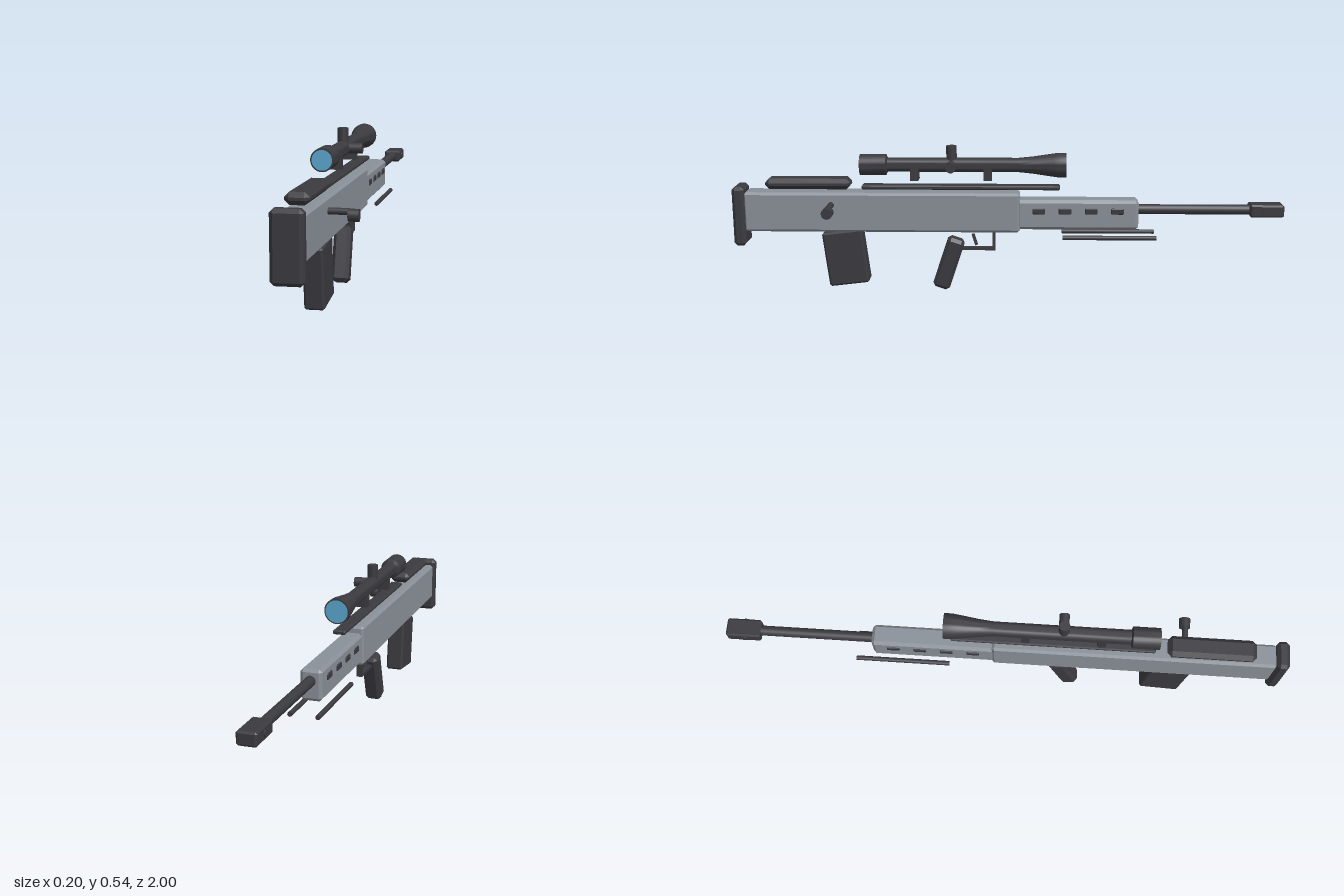
import * as THREE from 'three';
import { toCreasedNormals } from 'three/addons/utils/BufferGeometryUtils.js';
import { ConvexGeometry } from 'three/addons/geometries/ConvexGeometry.js';

const CX = -0.0425; // centre plane of the body

const gunmetal = new THREE.MeshStandardMaterial({ name: 'dark gunmetal', color: 0x3b3a3f });
const steel = new THREE.MeshStandardMaterial({ name: 'grey steel', color: 0x8a9098 });
const glass = new THREE.MeshStandardMaterial({ name: 'blue glass', color: 0x5ba6cf });

// Box with every edge chamfered by c
function chamferBox(w, h, d, c) {
  const pts = [];
  for (const x of [-1, 1]) for (const y of [-1, 1]) for (const z of [-1, 1]) {
    for (const [a, b, e] of [[0, c, c], [c, 0, c], [c, c, 0]]) {
      pts.push(new THREE.Vector3(x * (w / 2 - a), y * (h / 2 - b), z * (d / 2 - e)));
    }
  }
  return new ConvexGeometry(pts);
}

export function createModel() {
  const model = new THREE.Group();
  model.name = 'toyRifle';

  function add(name, geometry, material, x, y, z, tilt = 0) {
    const mesh = new THREE.Mesh(geometry, material);
    mesh.name = name;
    mesh.position.set(x, y, z);
    mesh.rotation.x = tilt;
    model.add(mesh);
    return mesh;
  }

  // Chamfered box given by its y and z ranges
  const block = (name, material, w, y0, y1, z0, z1, c) =>
    add(name, chamferBox(w, y1 - y0, z1 - z0, c), material, CX, (y0 + y1) / 2, (z0 + z1) / 2);

  // Cylinder lying along the chosen axis
  function rod(name, r, length, axis, x, y, z, sides = 24) {
    const geometry = new THREE.CylinderGeometry(r, r, length, sides);
    if (axis === 'z') geometry.rotateX(Math.PI / 2);
    if (axis === 'x') geometry.rotateZ(Math.PI / 2);
    return add(name, geometry, gunmetal, x, y, z);
  }

  // Body, stock and handguard
  block('receiver', steel, 0.085, 0.232, 0.378, -0.045, 0.96, 0.009);
  block('handguard', steel, 0.076, 0.243, 0.353, -0.475, -0.035, 0.011);
  block('buttPad', gunmetal, 0.101, 0.178, 0.399, 0.955, 1.0, 0.012);
  block('cheekRest', gunmetal, 0.076, 0.388, 0.427, 0.57, 0.88, 0.015);
  block('topRail', gunmetal, 0.046, 0.387, 0.402, -0.19, 0.53, 0.004);

  // Handguard vents on both sides
  for (const side of [-1, 1]) {
    for (let i = 0; i < 4; i++) {
      add('vent', chamferBox(0.008, 0.022, 0.046, 0.003), gunmetal,
        CX + side * 0.038, 0.313, -0.113 - i * 0.095);
    }
  }

  // Barrel and muzzle brake
  rod('barrel', 0.018, 0.43, 'z', CX, 0.314, -0.675);
  block('muzzleBrake', gunmetal, 0.066, 0.291, 0.337, -1.0, -0.877, 0.006);
  rod('muzzlePort', 0.013, 0.073, 'x', CX, 0.314, -0.935);

  // Folded bipod legs
  for (const side of [-1, 1]) {
    rod('bipodLeg', 0.0085, 0.34, 'z', CX + side * 0.048, 0.217, -0.37, 12);
  }

  // Magazine and grip
  add('magazine', chamferBox(0.066, 0.204, 0.148, 0.007), gunmetal, CX, 0.131, 0.595, 0.12);
  add('pistolGrip', chamferBox(0.06, 0.196, 0.064, 0.012), gunmetal, CX, 0.108, 0.217, -0.32);

  // Trigger and guard
  add('trigger', new THREE.BoxGeometry(0.014, 0.042, 0.01), gunmetal, CX, 0.197, 0.121, 0.3);
  add('guardFront', new THREE.BoxGeometry(0.022, 0.076, 0.01), gunmetal, CX, 0.196, 0.05);
  add('guardBottom', new THREE.BoxGeometry(0.022, 0.01, 0.125), gunmetal, CX, 0.163, 0.1075);

  // Bolt handle on the left side
  rod('boltHandle', 0.011, 0.085, 'x', 0.024, 0.334, 0.64, 16);
  rod('boltKnob', 0.02, 0.034, 'x', 0.08, 0.323, 0.64);

  // Scope body, turned along z from eyepiece to objective
  const profile = [
    [0, -0.535], [0.038, -0.535], [0.038, -0.44], [0.026, -0.435], [0.026, 0.04],
    [0.031, 0.09], [0.042, 0.165], [0.0446, 0.185], [0.0446, 0.212], [0, 0.212],
  ].map(([r, y]) => new THREE.Vector2(r, y));
  const scope = new THREE.LatheGeometry(profile, 32).rotateX(-Math.PI / 2);
  add('scopeTube', toCreasedNormals(scope, 0.6), gunmetal, CX, 0.476, 0);

  // Lenses
  add('eyepieceLens', new THREE.CircleGeometry(0.033, 32), glass, CX, 0.476, 0.537);
  add('objectiveLens', new THREE.CircleGeometry(0.04, 32), glass, CX, 0.476, -0.214, Math.PI);

  // Turrets and mounts
  rod('topTurret', 0.019, 0.06, 'y', CX, 0.516, 0.203);
  rod('sideTurret', 0.018, 0.06, 'x', -0.004, 0.476, 0.203);
  for (const z of [0.337, 0.072]) {
    add('scopeMount', new THREE.BoxGeometry(0.048, 0.045, 0.03), gunmetal, CX, 0.4435, z);
  }

  return model;
}
